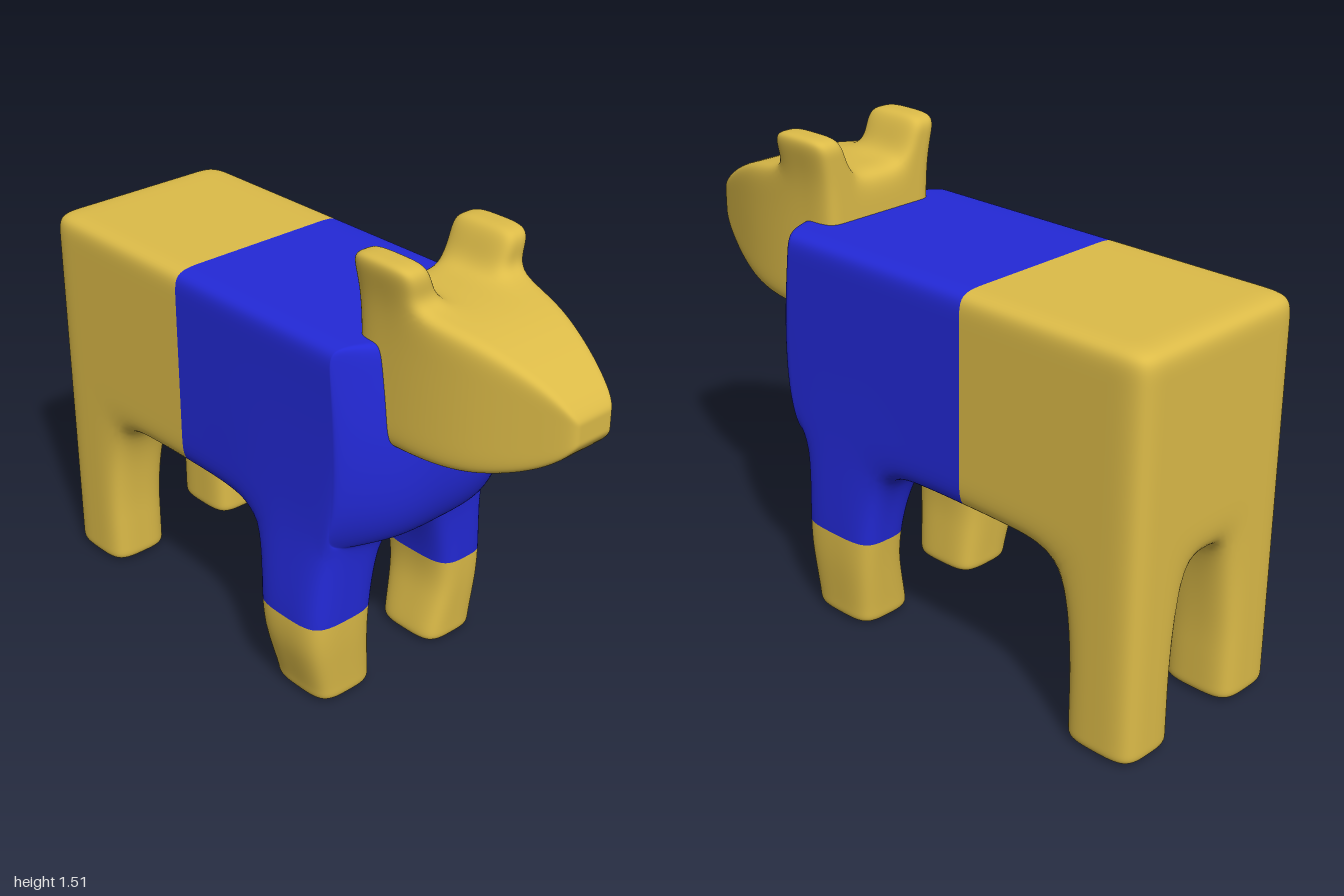
import * as THREE from 'three';

const OCHRE = 0, BLUE = 1;
const COLORS = [0xdcbb48, 0x2329d6];

// Piecewise linear lookup in a list of [input, output] pairs
function lookup(table, v) {
  if (v <= table[0][0]) return table[0][1];
  for (let i = 1; i < table.length; i++) {
    const [a, p] = table[i - 1], [b, q] = table[i];
    if (v <= b) return p + (q - p) * (v - a) / (b - a);
  }
  return table[table.length - 1][1];
}

// Outer skin of the filled cells of an uneven grid, as a quad cage
function makeCage(lines, filled, colorOf, warp) {
  const verts = [], faces = [], ids = new Map();
  const mid = (a, i) => (lines[a][i] + lines[a][i + 1]) / 2;
  const solid = c => c.every((i, a) => i >= 0 && i < lines[a].length - 1)
    && filled(mid(0, c[0]), mid(1, c[1]), mid(2, c[2]));
  const vertex = c => {
    const key = c.join();
    if (!ids.has(key)) {
      ids.set(key, verts.length);
      verts.push(new THREE.Vector3(...warp(...c.map((i, a) => lines[a][i]))));
    }
    return ids.get(key);
  };
  for (let i = 0; i < lines[0].length - 1; i++)
    for (let j = 0; j < lines[1].length - 1; j++)
      for (let k = 0; k < lines[2].length - 1; k++) {
        const cell = [i, j, k];
        if (!solid(cell)) continue;
        const color = colorOf(mid(0, i), mid(1, j), mid(2, k));
        for (let a = 0; a < 3; a++)
          for (const s of [-1, 1]) {
            const next = [...cell];
            next[a] += s;
            if (solid(next)) continue;
            const v = [[0, 0], [1, 0], [1, 1], [0, 1]].map(([p, q]) => {
              const c = [...cell];
              if (s > 0) c[a]++;
              c[(a + 1) % 3] += p;
              c[(a + 2) % 3] += q;
              return vertex(c);
            });
            faces.push({ v: s > 0 ? v : v.reverse(), color });
          }
      }
  return { verts, faces };
}

// One Catmull-Clark step on a closed quad cage
function subdivide({ verts, faces }) {
  const n = verts.length, out = verts.map(() => new THREE.Vector3());
  const edges = new Map(), valence = new Array(n).fill(0);
  const facePoints = faces.map(f => f.v.reduce((s, i) => s.add(verts[i]), new THREE.Vector3()).multiplyScalar(0.25));
  const edgeKey = (a, b) => Math.min(a, b) * n + Math.max(a, b);
  faces.forEach((f, fi) => f.v.forEach((a, i) => {
    const b = f.v[(i + 1) % 4], key = edgeKey(a, b);
    if (!edges.has(key)) edges.set(key, { a, b, sum: verts[a].clone().add(verts[b]) });
    edges.get(key).sum.add(facePoints[fi]);
    out[a].add(facePoints[fi]);
    valence[a]++;
  }));
  for (const e of edges.values()) {
    const ends = verts[e.a].clone().add(verts[e.b]);
    out[e.a].add(ends);
    out[e.b].add(ends);
    e.id = out.push(e.sum.multiplyScalar(0.25)) - 1;
  }
  for (let i = 0; i < n; i++) {
    const k = valence[i];
    out[i].divideScalar(k).addScaledVector(verts[i], k - 3).divideScalar(k);
  }
  const quads = [];
  faces.forEach((f, fi) => {
    const center = out.push(facePoints[fi]) - 1;
    const mids = f.v.map((a, i) => edges.get(edgeKey(a, f.v[(i + 1) % 4])).id);
    f.v.forEach((a, i) => quads.push({ v: [a, mids[i], center, mids[(i + 3) % 4]], color: f.color }));
  });
  return { verts: out, faces: quads };
}

// Smooth the cage and make one mesh per colour with shared normals
function smoothPart(name, cage, meshNames) {
  for (let i = 0; i < 3; i++) cage = subdivide(cage);
  const indices = color => cage.faces.filter(f => color === undefined || f.color === color)
    .flatMap(({ v: [a, b, c, d] }) => [a, b, c, a, c, d]);
  const whole = new THREE.BufferGeometry().setFromPoints(cage.verts);
  whole.setIndex(indices());
  whole.computeVertexNormals();
  const group = new THREE.Group();
  group.name = name;
  meshNames.forEach((meshName, color) => {
    const geometry = whole.clone();
    geometry.setIndex(indices(color));
    const mesh = new THREE.Mesh(geometry, new THREE.MeshStandardMaterial({ color: COLORS[color] }));
    mesh.name = meshName;
    group.add(mesh);
  });
  return group;
}

// Torso with four legs; the front half wears a blue coat
function makeBody() {
  const lines = [
    [-0.32, -0.21, -0.10, 0.02, 0.14, 0.245, 0.35],
    [0, 0.04, 0.15, 0.285, 0.58, 0.70, 0.95, 1.17, 1.25],
    [-1, -0.875, -0.75, -0.55, -0.35, -0.15, 0.04, 0.185, 0.33, 0.40, 0.47],
  ];
  const filled = (x, y, z) => y > 0.58
    || ((x < -0.1 || x > 0.14) && (z < -0.75 || (z > 0.04 && z < 0.33)));
  const colorOf = (x, y, z) => (z < -0.35 || y < 0.285 ? OCHRE : BLUE);
  const chest = [[0.58, 0.42], [0.70, 0.49], [0.95, 0.495], [1.17, 0.465], [1.25, 0.455]];
  const corner = [[-0.32, 0.12], [-0.21, 0.04], [-0.10, 0], [0.14, 0], [0.245, 0.02], [0.35, 0.08]];
  const knee = [[0.04, 0], [0.15, 0.55], [0.285, 1], [0.58, 0.25], [0.70, 0.1], [0.95, 0]];
  const splay = [[-0.32, -0.06], [-0.10, -0.015], [0.02, 0], [0.14, 0.05], [0.35, 0.02]];
  const crotch = [[-0.21, 0], [-0.10, 0.035], [0.02, 0], [0.14, -0.035], [0.245, 0]];
  const warp = (x, y, z) => {
    let px = x, py = y, pz = z;
    const frontLeg = z > 0 && z < 0.34;
    // front legs bulge at the knee and narrow at the foot
    if (frontLeg) {
      px += lookup(splay, x) * lookup(knee, y);
      pz += (0.19 - z) * lookup([[0.04, 0.14], [0.285, 0]], y);
    }
    // wide arches where the legs join the belly
    if (y === 0.58 && (frontLeg || z < -0.7)) {
      px += lookup(crotch, x);
      py -= 0.02;
      if (z === 0.04) pz -= 0.035;
      if (z === -0.75) pz += 0.035;
    }
    // rounded chest
    if (z > 0.34) pz = 0.33 + (z - 0.33) / 0.14 * (lookup(chest, y) - lookup(corner, x) - 0.33);
    return [px, py, pz];
  };
  return smoothPart('body', makeCage(lines, filled, colorOf, warp), ['hindquartersAndFrontFeet', 'coat']);
}

// Head tapering to the muzzle, with two flared ears
function makeHead() {
  const cx = 0.015;
  const lines = [
    [-0.215, -0.145, -0.08, 0, 0.08, 0.145, 0.215],
    [0.935, 1.03, 1.28, 1.385, 1.45, 1.515],
    [0.31, 0.425, 0.54, 0.72, 0.92, 1.0],
  ];
  const filled = (x, y, z) => y < 1.385 || (Math.abs(x) > 0.08 && z < 0.54);
  const width = [[0.54, 1], [0.72, 0.88], [0.92, 0.52], [1, 0.36]];
  const bottom = [[0.54, 0.935], [0.72, 0.945], [0.92, 1.025], [1, 1.11]];
  const top = [[0.54, 1.385], [0.72, 1.365], [0.92, 1.275], [1, 1.2]];
  const flare = [[1.28, 0], [1.385, 0.008], [1.45, 0.022], [1.515, 0.034]];
  const warp = (x, y, z) => {
    const ear = Math.abs(x) > 0.07 && z < 0.55
      ? Math.sign(x) * lookup(flare, y) * (1 + 8 * (0.215 - Math.abs(x))) : 0;
    const lo = lookup(bottom, z), hi = lookup(top, z);
    return [cx + x * lookup(width, z) + ear, lo + (y - 0.935) / 0.45 * (hi - lo), z];
  };
  return smoothPart('head', makeCage(lines, filled, () => OCHRE, warp), ['headAndEars']);
}

export function createModel() {
  const model = new THREE.Group();
  model.name = 'animal';
  model.add(makeBody(), makeHead());
  return model;
}
